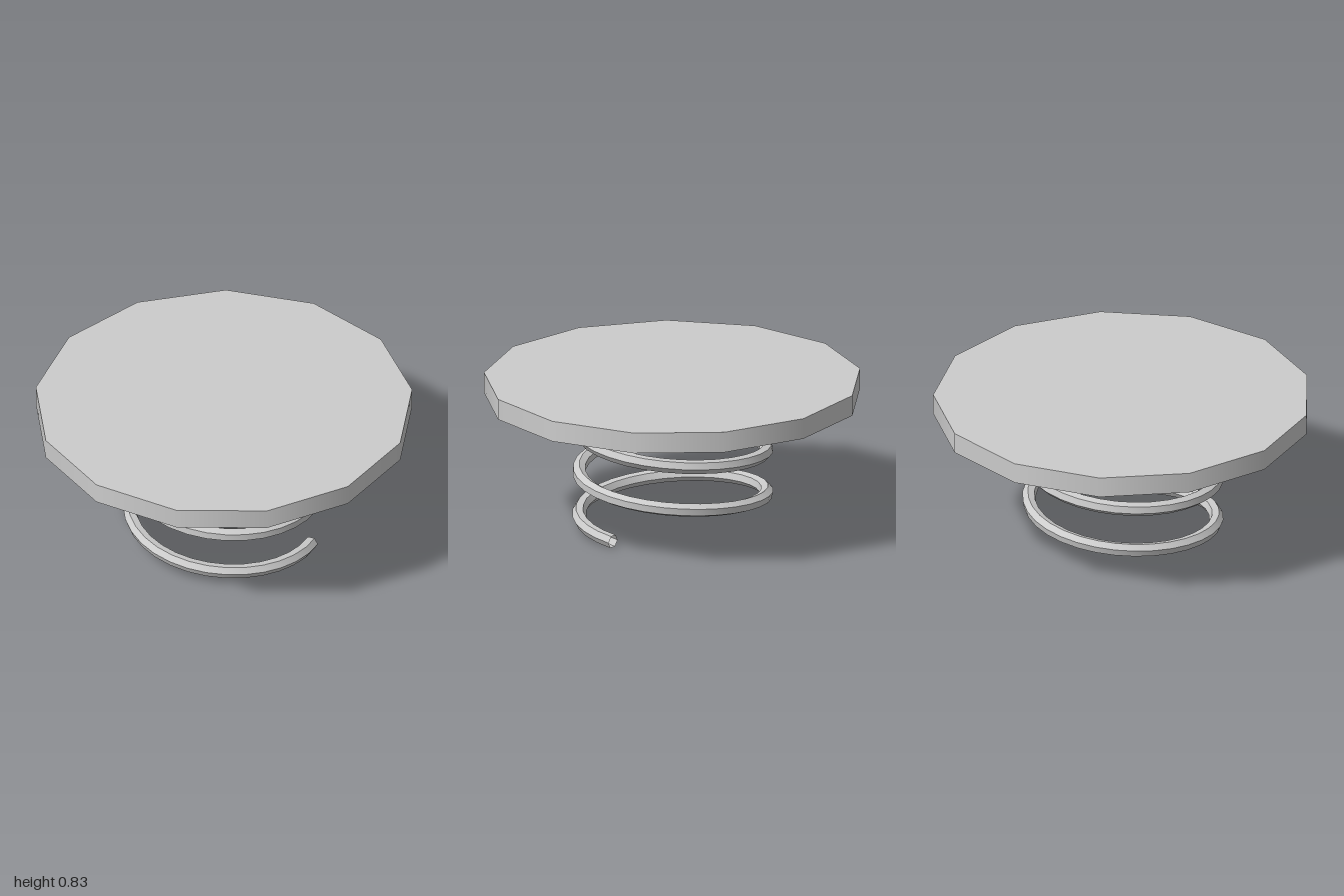
import * as THREE from 'three';
import { toCreasedNormals } from 'three/addons/utils/BufferGeometryUtils.js';

const PLATE = { radius: 1.007, top: 0.826, height: 0.112, sides: 13 };
const COIL = { radius: 0.499, wire: 0.0375, startY: 0.0325, pitch: 0.241, turns: 3.0625 };

// Helix starting on +x and rising towards +z
class Helix extends THREE.Curve {
  getPoint(u, target = new THREE.Vector3()) {
    const turn = u * COIL.turns;
    const angle = turn * Math.PI * 2;
    return target.set(
      COIL.radius * Math.cos(angle),
      COIL.startY + COIL.pitch * turn,
      COIL.radius * Math.sin(angle));
  }
}

export function createModel() {
  const model = new THREE.Group();
  model.name = 'springPad';
  model.position.x = -0.015;
  const material = new THREE.MeshStandardMaterial({ color: 0xcccccc, side: THREE.DoubleSide });

  function addPart(name, geometry, y = 0) {
    const mesh = new THREE.Mesh(geometry, material);
    mesh.name = name;
    mesh.position.y = y;
    model.add(mesh);
  }

  // Thirteen-sided plate, a thin shell open underneath, with one corner towards +x
  addPart('plateTop',
    new THREE.CircleGeometry(PLATE.radius, PLATE.sides).rotateX(-Math.PI / 2), PLATE.top);
  addPart('plateRim',
    new THREE.CylinderGeometry(PLATE.radius, PLATE.radius, PLATE.height, PLATE.sides, 1, true, Math.PI / 2),
    PLATE.top - PLATE.height / 2);

  // Hexagonal wire coil, its upper end tucked inside the rim
  addPart('spring',
    toCreasedNormals(new THREE.TubeGeometry(new Helix(), 98, COIL.wire, 6), 0.7));

  return model;
}
